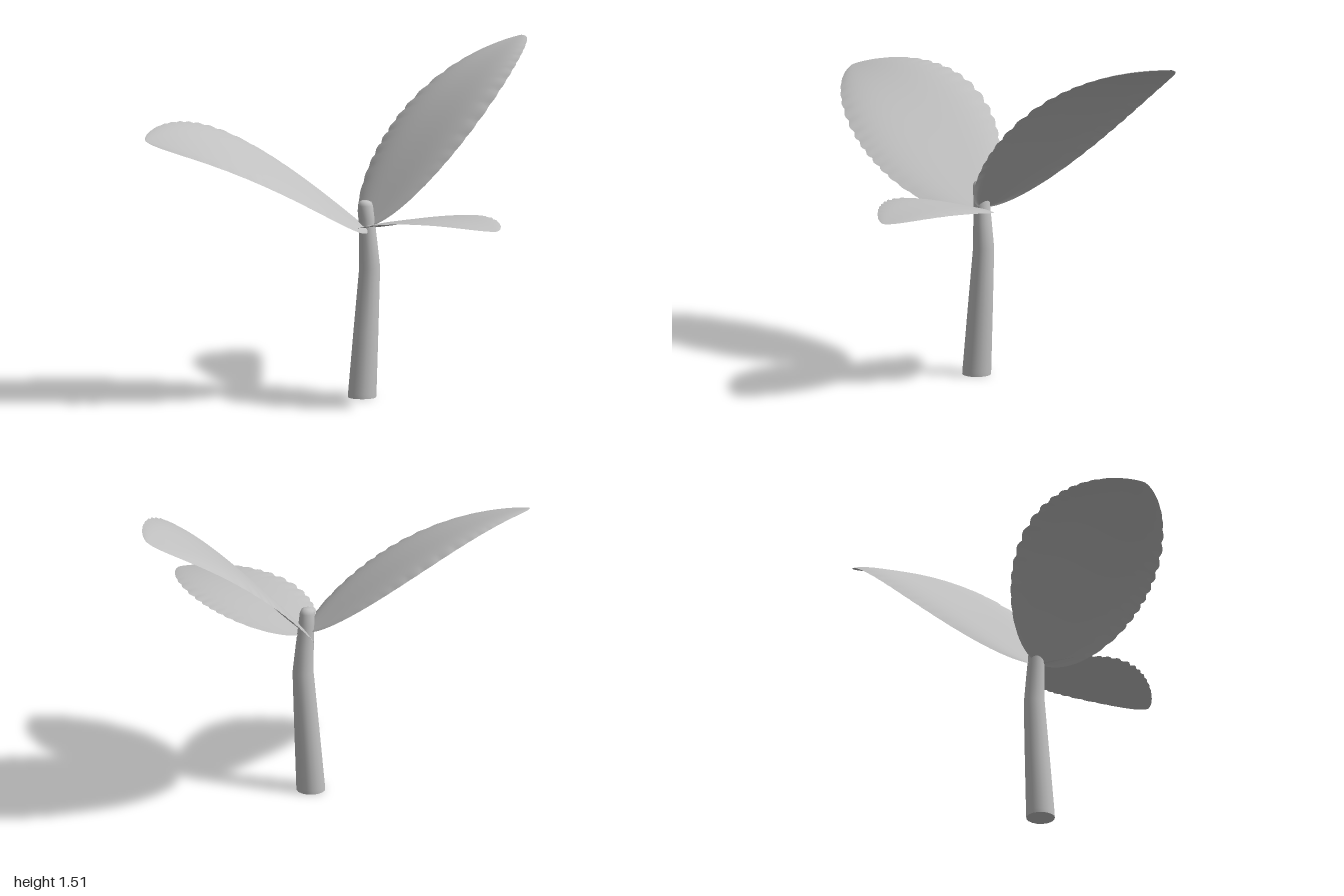
import * as THREE from 'three';
import { toCreasedNormals } from 'three/addons/utils/BufferGeometryUtils.js';

const clay = new THREE.MeshStandardMaterial({ color: 0xc0c0c0, side: THREE.DoubleSide });
clay.name = 'pale grey';

// Arched leaf blade: side is the cross direction, arch lifts the midrib,
// dome bends the rims down, and the rim is finely scalloped.
function makeLeaf(name, { base, tip, side, width, arch, dome, teeth }) {
  const a = new THREE.Vector3(...base);
  const axis = new THREE.Vector3(...tip).sub(a);
  const across = new THREE.Vector3(...side);
  const up = axis.clone().cross(across).normalize();
  const geo = new THREE.PlaneGeometry(1, 1, 120, 16);
  const pos = geo.attributes.position;
  const p = new THREE.Vector3();
  for (let i = 0; i < pos.count; i++) {
    const t = (1 - Math.cos(Math.PI * (pos.getX(i) + 0.5))) / 2;
    const s = pos.getY(i) * 2;
    const outline = Math.pow(Math.max(Math.sin(Math.PI * Math.pow(t, 0.85)), 0.0005), 0.65);
    const rim = Math.pow(Math.abs(s), 8);
    const phase = teeth * t + 0.35 * Math.sin(11 * t + 2 * s);
    const scallop = Math.abs(Math.sin(Math.PI * phase)) - 0.6;
    const fade = 16 * t * t * (1 - t) * (1 - t);
    const w = width * outline + 0.014 * scallop * rim * fade;
    const u = Math.pow(t, 1.15);
    p.copy(a).addScaledVector(axis, t).addScaledVector(across, s * w);
    p.y += arch * 4 * u * (1 - u);
    p.addScaledVector(up, -dome * outline * Math.pow(Math.abs(s), 4) + 0.003 * scallop * rim * fade);
    pos.setXYZ(i, p.x, p.y, p.z);
  }
  geo.computeVertexNormals();
  const mesh = new THREE.Mesh(geo, clay);
  mesh.name = name;
  return mesh;
}

// Tapered stem with a slight bend and a rounded top
function makeStem() {
  const profile = [
    [0, 0], [0.064, 0], [0.064, 0.02], [0.056, 0.3], [0.047, 0.58], [0.041, 0.7],
    [0.036, 0.8], [0.034, 0.86], [0.028, 0.876], [0.016, 0.882], [0, 0.883],
  ].map(([r, y]) => new THREE.Vector2(r, y));
  const geo = new THREE.LatheGeometry(profile, 16);
  const pos = geo.attributes.position;
  const bend = [[0, 0.012], [0.58, 0.054], [0.76, 0.042], [0.89, 0.03]];
  for (let i = 0; i < pos.count; i++) {
    const y = pos.getY(i);
    const k = Math.max(1, bend.findIndex(([h]) => h >= y));
    const [y0, x0] = bend[k - 1], [y1, x1] = bend[k];
    pos.setX(i, pos.getX(i) + x0 + (x1 - x0) * (y - y0) / (y1 - y0));
    pos.setZ(i, pos.getZ(i) - 0.155 - 0.006 * y);
  }
  const mesh = new THREE.Mesh(toCreasedNormals(geo, Math.PI / 3.5), clay);
  mesh.name = 'stem';
  return mesh;
}

export function createModel() {
  const group = new THREE.Group();
  group.name = 'seedling';
  group.add(
    makeStem(),
    makeLeaf('leftLeaf', {
      base: [0.045, 0.765, -0.16], tip: [1, 1.505, -0.42], side: [-0.13, -0.22, -1.01],
      width: 0.325, arch: 0.132, dome: 0.025, teeth: 17,
    }),
    makeLeaf('rightLeaf', {
      base: [0.03, 0.765, -0.155], tip: [-1, 1.215, -0.34], side: [-0.13, -0.31, 1.0],
      width: 0.306, arch: 0.115, dome: 0.022, teeth: 17,
    }),
    makeLeaf('frontLeaf', {
      base: [0.04, 0.758, -0.16], tip: [0.24, 0.837, 0.617], side: [1.02, -0.01, -0.1],
      width: 0.22, arch: 0.055, dome: 0.01, teeth: 15,
    }),
  );
  return group;
}
